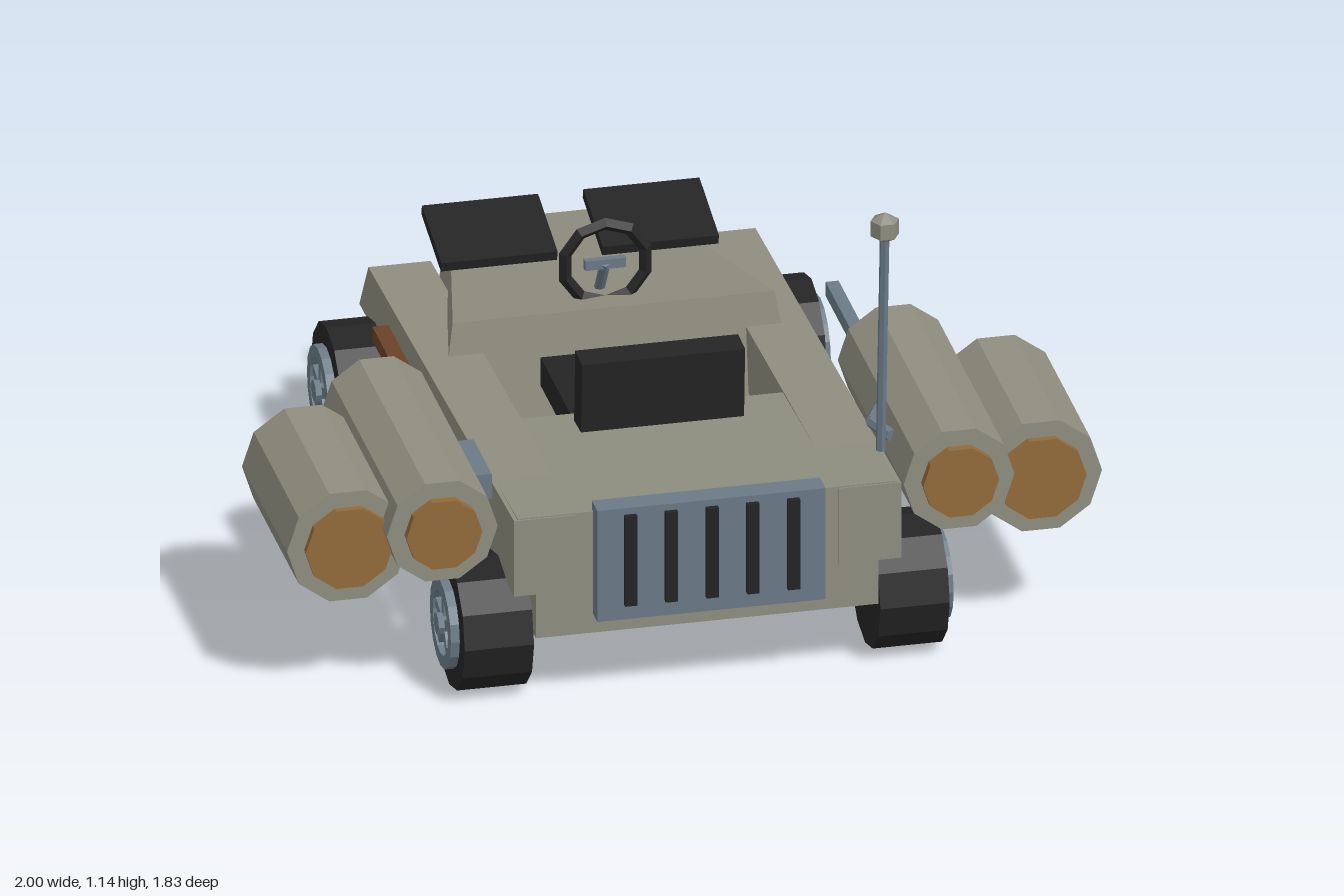
import * as THREE from 'three';

const paint = (name, color, flat = true) => {
  const m = new THREE.MeshStandardMaterial({ color, flatShading: flat });
  m.name = name;
  return m;
};

export function createModel() {
  const body = paint('bodyGrey', 0x8f8e7f);
  const steel = paint('blueSteel', 0x6a7a86);
  const black = paint('black', 0x242424);
  const amber = paint('amberLens', 0x936a3a);
  const brown = paint('brown', 0x6b4229);
  const padGrey = paint('padGrey', 0x55554f);

  const model = new THREE.Group();
  model.name = 'buggy';

  const add = (name, geo, mat, x = 0, y = 0, z = 0, parent = model) => {
    const mesh = new THREE.Mesh(geo, mat);
    mesh.name = name;
    mesh.position.set(x, y, z);
    parent.add(mesh);
    return mesh;
  };
  // Box given by its extents
  const box = (name, mat, [x0, x1], [y0, y1], [z0, z1], parent = model) =>
    add(name, new THREE.BoxGeometry(x1 - x0, y1 - y0, z1 - z0), mat,
      (x0 + x1) / 2, (y0 + y1) / 2, (z0 + z1) / 2, parent);
  // Box whose corners are moved by a rule on their signs
  const warpBox = (rule) => {
    const geo = new THREE.BoxGeometry(2, 2, 2);
    const p = geo.attributes.position;
    for (let i = 0; i < p.count; i++) p.setXYZ(i, ...rule(p.getX(i), p.getY(i), p.getZ(i)));
    geo.computeVertexNormals();
    return geo;
  };
  // Thin rod between two points
  const rod = (name, mat, a, b, r, sides = 6, parent = model) => {
    const from = new THREE.Vector3(...a), to = new THREE.Vector3(...b);
    const dir = to.clone().sub(from);
    const mesh = add(name, new THREE.CylinderGeometry(r, r, dir.length(), sides), mat, 0, 0, 0, parent);
    mesh.position.copy(from).add(to).multiplyScalar(0.5);
    mesh.quaternion.setFromUnitVectors(new THREE.Vector3(0, 1, 0), dir.normalize());
    return mesh;
  };

  // Tapered hood hull
  add('hoodHull', warpBox((sx, sy, sz) => {
    const top = sy > 0;
    if (sz > 0) return [sx * (top ? 0.395 : 0.45), top ? 0.545 : 0.2, top ? -0.14 : -0.085];
    return [sx * (top ? 0.235 : 0.265), top ? 0.45 : 0.2, top ? -0.865 : -0.915];
  }), body);

  // Engine deck and belly
  add('engineDeck', warpBox((sx, sy, sz) => [
    sx * 0.465,
    sy < 0 ? 0.3 : sz > 0 ? 0.503 : 0.473,
    sz > 0 ? 0.855 : 0.262,
  ]), body);
  box('belly', body, [-0.42, 0.42], [0.18, 0.301], [0.265, 0.853]);

  // Side rails that end as fenders
  const railShape = new THREE.Shape([
    [0.86, 0.3], [0.86, 0.5], [-0.69, 0.442], [-0.785, 0.3],
  ].map(([z, y]) => new THREE.Vector2(z, y)));
  for (const side of [-1, 1]) {
    const geo = new THREE.ExtrudeGeometry(railShape, { depth: 0.153, bevelEnabled: false });
    geo.rotateY(-Math.PI / 2).translate(0.0765, 0, 0);
    add('sideRail', geo, body, side * 0.3985, 0, 0);
  }

  // Grille with slots
  box('grille', steel, [-0.28, 0.28], [0.23, 0.525], [0.84, 0.9]);
  for (let i = -2; i <= 2; i++) {
    box('grilleSlot', black, [i * 0.1 - 0.015, i * 0.1 + 0.015], [0.27, 0.508], [0.89, 0.914]);
  }

  // Seat
  box('seatCushion', black, [-0.2, 0.2], [0.4, 0.475], [-0.05, 0.262]);
  const seatBack = new THREE.Group();
  seatBack.name = 'seatBack';
  seatBack.position.set(0, 0.565, 0.348);
  seatBack.rotation.x = 0.06;
  model.add(seatBack);
  box('backrest', black, [-0.2, 0.2], [-0.1, 0.1], [-0.037, 0.037], seatBack);
  box('backrestPad', padGrey, [-0.15, 0.15], [-0.075, 0.075], [-0.055, -0.03], seatBack);

  // Hood flaps
  for (const side of [-1, 1]) {
    const flap = add('hoodFlap', new THREE.BoxGeometry(0.285, 0.026, 0.215), black, side * 0.198, 0.545, -0.602);
    flap.rotation.x = 0.26;
  }

  // Steering wheel and column
  add('steeringWheel', new THREE.TorusGeometry(0.103, 0.016, 4, 10).rotateZ(Math.PI / 10), black, 0, 0.62, -0.23);
  box('steeringSpoke', steel, [-0.05, 0.05], [0.605, 0.63], [-0.242, -0.225]);
  rod('steeringColumn', steel, [0, 0.62, -0.23], [0, 0.51, -0.3], 0.013);

  // Wheels: tyre, rim ring, spokes and hub, built facing +x
  const ringShape = new THREE.Shape().absarc(0, 0, 0.112, 0, Math.PI * 2);
  ringShape.holes.push(new THREE.Path().absarc(0, 0, 0.08, 0, Math.PI * 2));
  for (const side of [-1, 1]) {
    for (const z of [0.69, -0.615]) {
      const wheel = new THREE.Group();
      wheel.name = 'wheel';
      wheel.position.set(side * 0.51, 0.165, z);
      if (side < 0) wheel.rotation.y = Math.PI;
      model.add(wheel);
      add('tyre', new THREE.CylinderGeometry(0.165, 0.165, 0.17, 12).rotateZ(Math.PI / 2), black, 0, 0, 0, wheel);
      const ring = new THREE.ExtrudeGeometry(ringShape, { depth: 0.03, bevelEnabled: false, curveSegments: 8 });
      add('rim', ring.rotateY(Math.PI / 2), steel, 0.077, 0, 0, wheel);
      for (let i = 0; i < 5; i++) {
        const spoke = new THREE.BoxGeometry(0.02, 0.085, 0.022).translate(0, 0.045, 0);
        add('spoke', spoke, steel, 0.092, 0, 0, wheel).rotation.x = (i * Math.PI * 2) / 5;
      }
      add('hub', new THREE.CylinderGeometry(0.028, 0.028, 0.04, 8).rotateZ(Math.PI / 2), steel, 0.097, 0, 0, wheel);
    }
  }

  // Ten-sided side pods with amber lenses
  const drum = (name, mat, r, z0, z1, x, y) =>
    add(name, new THREE.CylinderGeometry(r, r, z1 - z0, 10, 1, false, Math.PI / 2).rotateX(Math.PI / 2),
      mat, x, y, (z0 + z1) / 2);
  for (const side of [-1, 1]) {
    drum('outerPod', body, 0.15, 0.24, 0.72, side * 0.85, 0.41);
    drum('outerLens', amber, 0.108, 0.71, 0.738, side * 0.85, 0.41);
    drum('innerPod', body, 0.136, 0.085, 0.785, side * 0.634, 0.456);
    drum('innerLens', amber, 0.093, 0.775, 0.808, side * 0.634, 0.456);
  }

  // Rods behind the pods
  box('rightRod', brown, [-0.576, -0.536], [0.485, 0.522], [-0.21, 0.1]);
  box('leftRod', steel, [0.535, 0.567], [0.485, 0.522], [-0.205, 0.1]);

  // Pod mounts: a plate on the right, a bent bracket on the left
  box('rightMount', steel, [-0.53, -0.485], [0.47, 0.535], [0.47, 0.665]);
  rod('leftMount', steel, [0.51, 0.5, 0.46], [0.478, 0.505, 0.53], 0.016);
  rod('leftMount', steel, [0.478, 0.505, 0.53], [0.51, 0.5, 0.605], 0.016);

  // Leaning antenna with a faceted knob
  rod('antenna', steel, [0.47, 0.47, 0.66], [0.47, 1.09, 0.705], 0.012);
  add('antennaKnob', new THREE.SphereGeometry(0.04, 6, 3), body, 0.47, 1.105, 0.705);

  return model;
}
